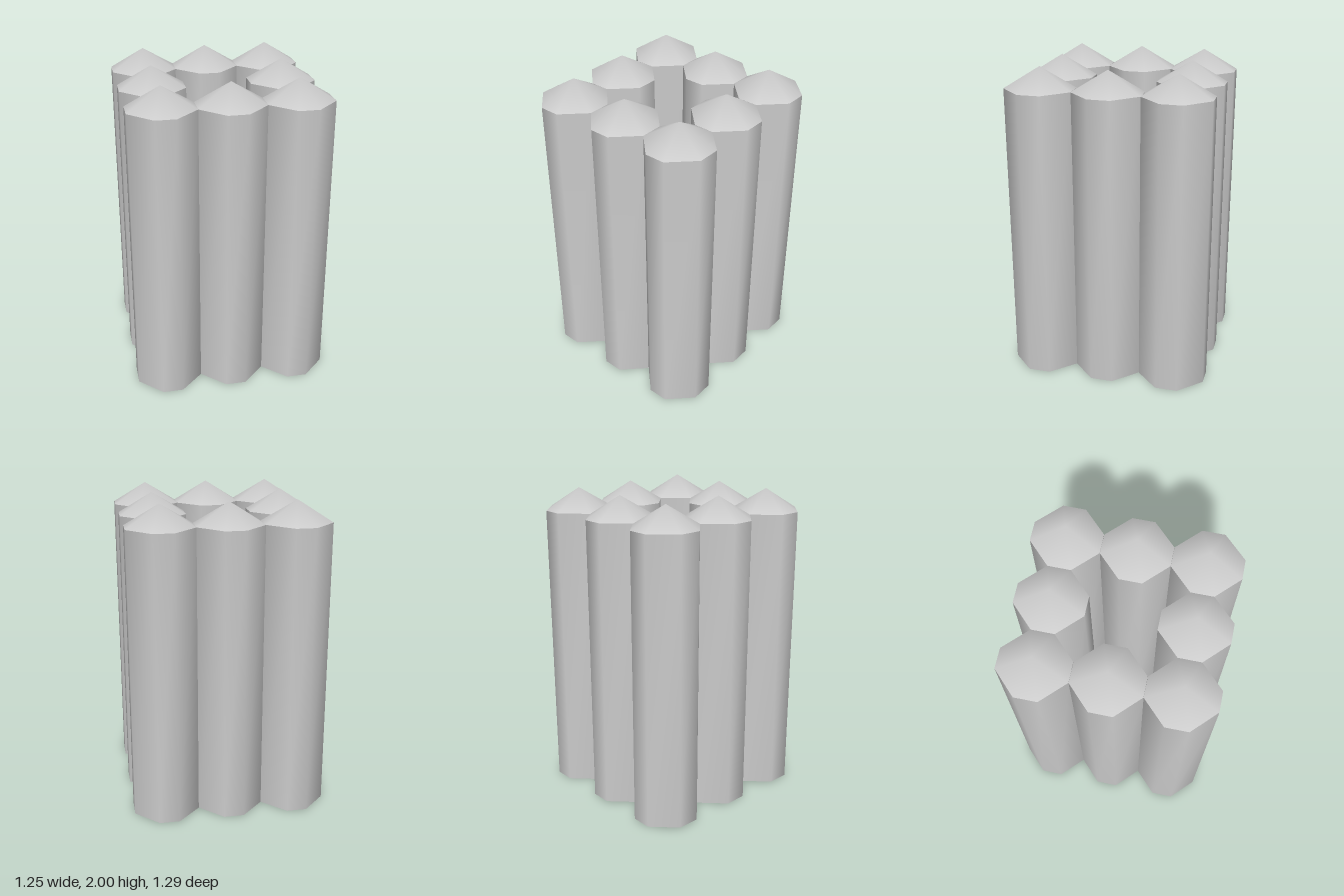
import * as THREE from 'three';

const SHOULDER = 1.865, TOP = 2;
const HALF_X = 0.209, HALF_Z = 0.2145; // half extents of one column
const FLAT_X = 0.064, FLAT_Z = 0.071;  // half widths of its flat sides
const PITCH_X = 0.417, PITCH_Z = 0.43;

// Eight outline points, running from +z towards +x
const outline = [
  [-FLAT_X, HALF_Z], [FLAT_X, HALF_Z], [HALF_X, FLAT_Z], [HALF_X, -FLAT_Z],
  [FLAT_X, -HALF_Z], [-FLAT_X, -HALF_Z], [-HALF_X, -FLAT_Z], [-HALF_X, FLAT_Z],
];

function smoothGeometry(points, index) {
  const g = new THREE.BufferGeometry();
  g.setAttribute('position', new THREE.Float32BufferAttribute(points.flat(), 3));
  g.setIndex(index);
  g.computeVertexNormals();
  return g;
}

// Open eight-sided tube
function shaftGeometry() {
  const n = outline.length, index = [];
  const points = [0, SHOULDER].flatMap(y => outline.map(([x, z]) => [x, y, z]));
  for (let i = 0; i < n; i++) {
    const j = (i + 1) % n;
    index.push(i, j, n + j, i, n + j, n + i);
  }
  return smoothGeometry(points, index);
}

// Shallow pointed cap
function capGeometry() {
  const n = outline.length, index = [];
  const points = outline.map(([x, z]) => [x, SHOULDER, z]);
  points.push([0, TOP, 0]);
  for (let i = 0; i < n; i++) index.push(i, (i + 1) % n, n);
  return smoothGeometry(points, index);
}

export function createModel() {
  const model = new THREE.Group();
  model.name = 'columnCluster';
  const material = new THREE.MeshStandardMaterial({ color: 0xcccccc, side: THREE.DoubleSide });
  const shaftShape = shaftGeometry(), capShape = capGeometry();

  // Ring of eight columns around an empty centre
  for (const row of [-1, 0, 1]) {
    for (const col of [-1, 0, 1]) {
      if (row === 0 && col === 0) continue;
      const column = new THREE.Group();
      column.name = 'column';
      const shaft = new THREE.Mesh(shaftShape, material);
      shaft.name = 'shaft';
      const cap = new THREE.Mesh(capShape, material);
      cap.name = 'pointedCap';
      column.add(shaft, cap);
      column.position.set(col * PITCH_X, 0, row * PITCH_Z);
      model.add(column);
    }
  }
  return model;
}
